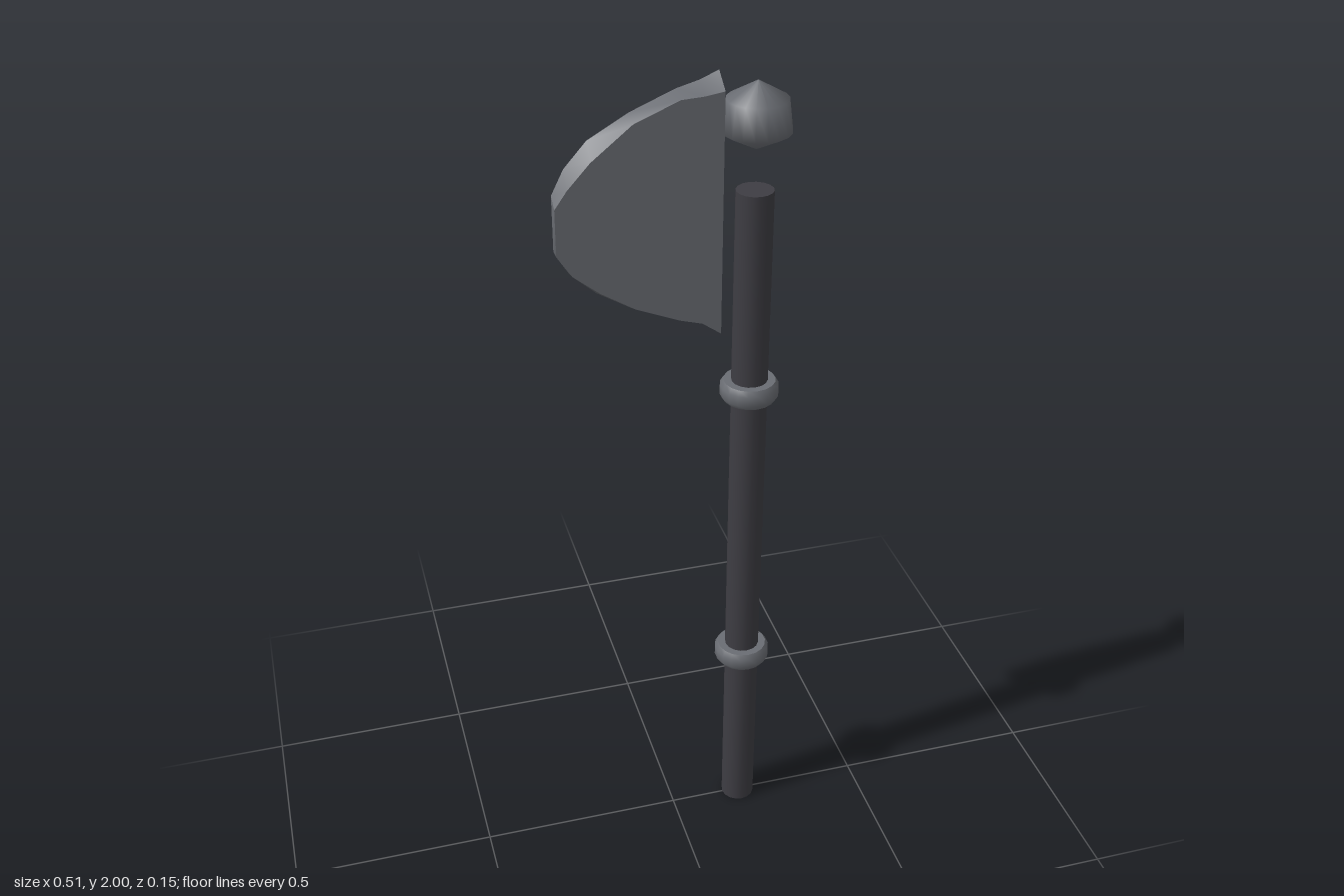
import * as THREE from 'three';
import { toCreasedNormals } from 'three/addons/utils/BufferGeometryUtils.js';

const POLE_X = 0.18;

// Blade outline, counterclockwise from the upper horn: x, y, drop of the front rim
const OUTLINE = [
  [0.103, 2.0, 0.03], [0.06, 1.983, 0.02], [0.01, 1.97, 0.01], [-0.09, 1.93, 0.012], [-0.18, 1.88, 0.035],
  [-0.23, 1.825, 0.035], [-0.258, 1.77, 0.02], [-0.258, 1.645, 0], [-0.225, 1.587, -0.008],
  [-0.167, 1.534, -0.015], [-0.09, 1.487, -0.015], [0.01, 1.45, -0.012], [0.06, 1.44, -0.008], [0.103, 1.418, 0],
];

function bladeGeometry() {
  const n = OUTLINE.length;
  const halfDepth = (x) => 0.0145 + (x + 0.258) * 0.024;
  const positions = [
    ...OUTLINE.flatMap(([x, y, drop]) => [x, y - drop, halfDepth(x)]),
    ...OUTLINE.flatMap(([x, y]) => [x, y, -halfDepth(x)]),
  ];
  const index = [];
  // Both cheeks share one triangulation
  const faces = THREE.ShapeUtils.triangulateShape(OUTLINE.map(([x, y]) => new THREE.Vector2(x, y)), []);
  for (const [a, b, c] of faces) index.push(a, b, c, n + a, n + c, n + b);
  // Rim joining the cheeks
  for (let i = 0; i < n; i++) {
    const j = (i + 1) % n;
    index.push(i, n + i, n + j, i, n + j, j);
  }
  const geometry = new THREE.BufferGeometry();
  geometry.setAttribute('position', new THREE.Float32BufferAttribute(positions, 3));
  geometry.setIndex(index);
  return toCreasedNormals(geometry, 0.65);
}

function lathe(profile, sides) {
  return new THREE.LatheGeometry(profile.map(([r, y]) => new THREE.Vector2(r, y)), sides);
}

export function createModel() {
  const group = new THREE.Group();
  const metal = new THREE.MeshStandardMaterial({ color: 0x6a6d73 });
  metal.name = 'grey metal';
  const dark = new THREE.MeshStandardMaterial({ color: 0x3e3d43 });
  dark.name = 'dark shaft';

  const add = (name, geometry, material, x, y) => {
    const mesh = new THREE.Mesh(geometry, material);
    mesh.name = name;
    mesh.position.set(x, y, 0);
    group.add(mesh);
  };

  // Long shaft
  add('shaft', new THREE.CylinderGeometry(0.042, 0.042, 1.74, 16), dark, POLE_X, 0.87);

  // Two bevelled bands around the shaft
  const band = toCreasedNormals(lathe([
    [0.04, -0.024], [0.06, -0.024], [0.068, -0.012], [0.068, 0.012], [0.06, 0.024], [0.04, 0.024],
  ], 18), 0.9);
  add('lowerBand', band, metal, POLE_X, 0.49);
  add('upperBand', band, metal, POLE_X, 1.255);

  // Faceted knob floating above the shaft
  add('knob', lathe([[0, -0.075], [0.076, -0.034], [0.067, 0.036], [0, 0.075]], 18), metal, POLE_X, 1.905);

  // Curved blade beside the top of the shaft
  add('blade', bladeGeometry(), metal, 0, 0);

  return group;
}
